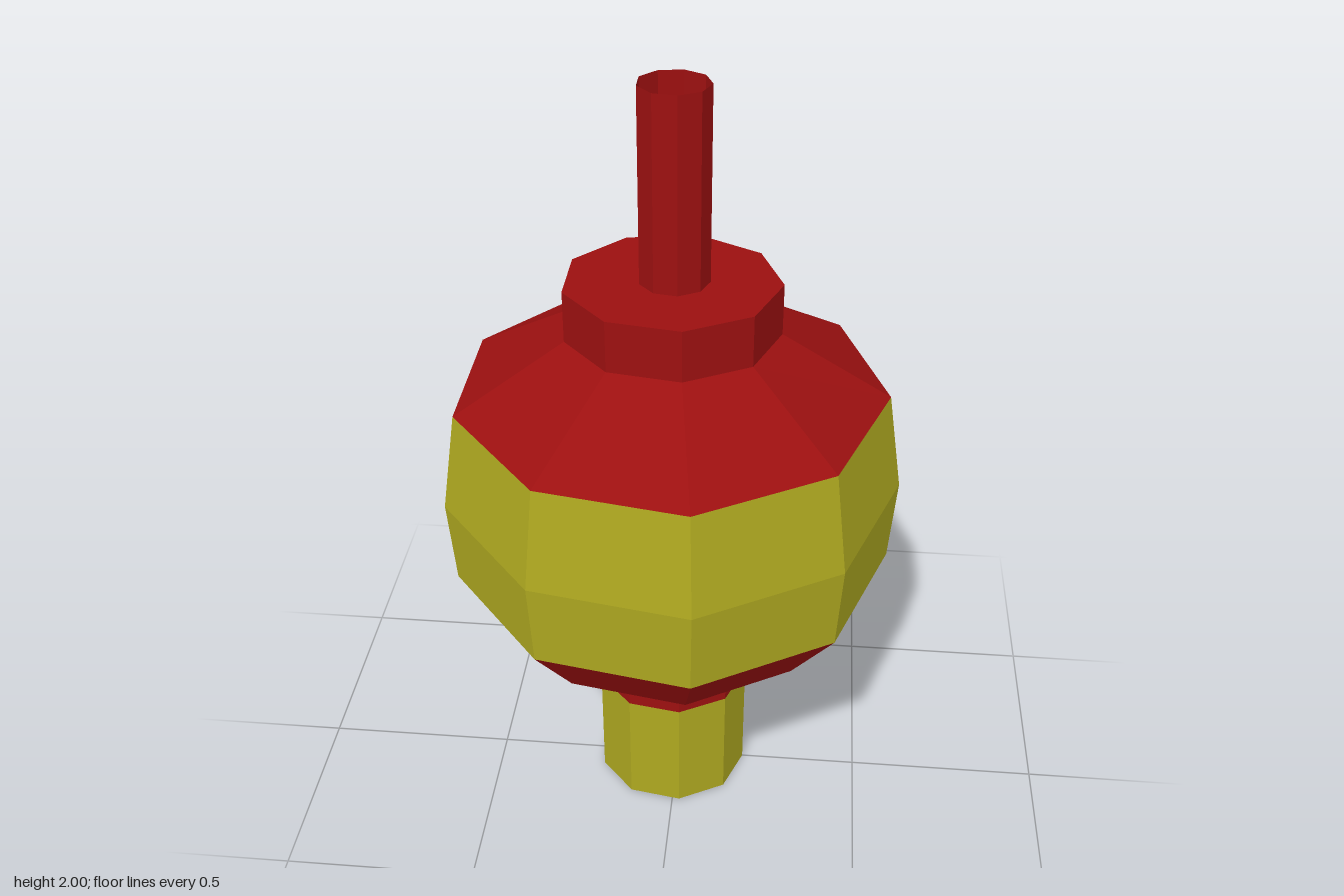
import * as THREE from 'three';

const SIDES = 9;
const RED = 0x9c1010;
const YELLOW = 0xaea820;

// Rings of the hollow shell: [radius, height, stretch along x, shift along x]
const FOOT = [0.186, 0, 1.08, -0.016];
const NECK_JOINT = [0.186, 0.33, 1.08, -0.016];
const NECK_TOP = [0.186, 0.445, 1.08, -0.016];
const BELLY_LOW = [0.426, 0.585, 1, -0.018];
const BAND_LOW = [0.556, 0.76, 1, -0.018];
const BAND_MID = [0.571, 0.98, 1, -0.018];
const BAND_TOP = [0.531, 1.235, 1, -0.018];
const COLLAR_LOW = [0.242, 1.395, 1.08, -0.015];
const COLLAR_TOP = [0.242, 1.525, 1.08, -0.015];
const PIPE_LOW = [0.079, 1.525, 1.07, -0.009];
const PIPE_TOP = [0.079, 2, 1.07, -0.009];

// Faceted shell through a run of rings, with one corner pointing to +x
function shell(name, color, rings) {
  const points = rings.map(([r, y]) => new THREE.Vector2(r, y));
  const geometry = new THREE.LatheGeometry(points, SIDES, Math.PI / 2);
  const pos = geometry.attributes.position;
  for (let i = 0; i < pos.count; i++) {
    const [, , stretch, shift] = rings[i % rings.length];
    pos.setX(i, pos.getX(i) * stretch + shift);
  }
  geometry.computeVertexNormals();
  const material = new THREE.MeshStandardMaterial({ color, flatShading: true, side: THREE.DoubleSide });
  const mesh = new THREE.Mesh(geometry, material);
  mesh.name = name;
  return mesh;
}

export function createModel() {
  const model = new THREE.Group();
  model.name = 'bulbFloat';
  model.add(
    // Open-ended lower tube
    shell('lowerTube', YELLOW, [FOOT, NECK_JOINT]),
    shell('lowerNeck', RED, [NECK_JOINT, NECK_TOP]),
    // Bulb in three colour zones
    shell('lowerBulb', RED, [NECK_TOP, BELLY_LOW, BAND_LOW]),
    shell('middleBand', YELLOW, [BAND_LOW, BAND_MID, BAND_TOP]),
    shell('upperBulb', RED, [BAND_TOP, COLLAR_LOW]),
    // Collar with a flat top, and the open pipe rising from it
    shell('collar', RED, [COLLAR_LOW, COLLAR_TOP, PIPE_LOW]),
    shell('upperPipe', RED, [PIPE_LOW, PIPE_TOP])
  );
  return model;
}
